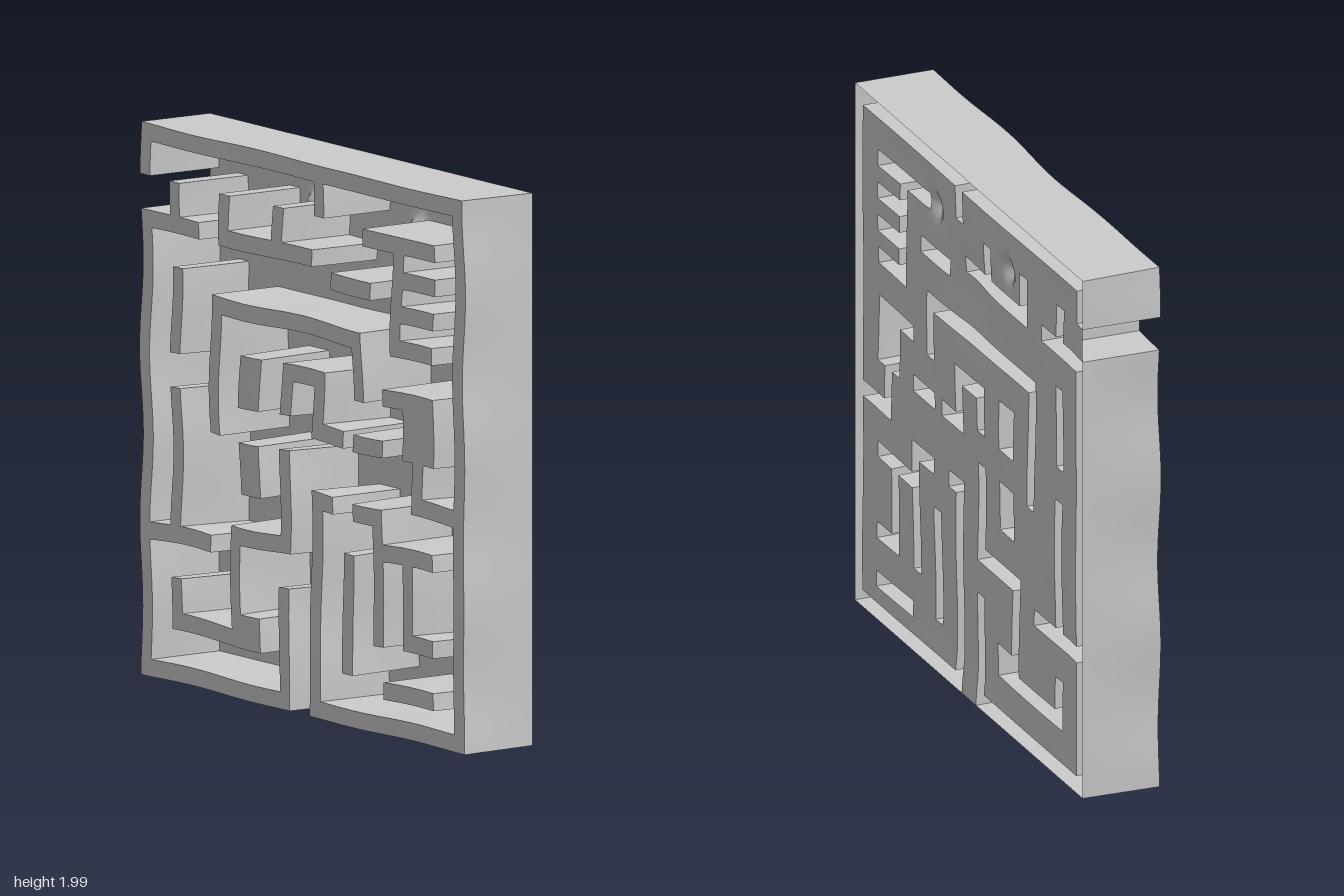
import * as THREE from 'three';
import { toCreasedNormals } from 'three/addons/utils/BufferGeometryUtils.js';

const N = 32;          // maze cells per side
const SUB = 3;         // surface subdivisions per cell
const CELL = 1.98 / N; // cell size
const BACK = -0.16, FRONT = 0.142;

// wall runs in cell units: x0, y0, x1, y1
const WALLS = {
  frame: [
    [0, 0, 1, 27], [0, 29, 1, 32], [31, 0, 32, 32], [0, 31, 32, 32],
    [0, 0, 15, 1], [17, 0, 32, 1], [17, 29, 18, 32],
  ],
  entrance: [[14, 0, 15, 7], [17, 0, 18, 13], [17, 12, 19, 13]],
  leftSide: [
    [0, 26, 6, 27], [3, 26, 4, 29], [3, 19, 4, 24],
    [0, 8, 7, 9], [3, 8, 4, 17],
  ],
  upper: [
    [8, 26, 17, 27], [8, 26, 9, 29], [13, 26, 14, 29], [19, 25, 23, 26],
    [22, 28, 29, 29], [25, 22, 26, 29], [25, 26, 29, 27], [25, 24, 29, 25], [25, 22, 29, 23],
  ],
  middle: [
    [7, 22, 22, 23], [7, 15, 8, 23], [21, 19, 22, 23],
    [10, 17, 12, 20], [10, 12, 12, 15],
    [14, 19, 18, 20], [14, 17, 15, 20], [17, 16, 18, 20], [17, 16, 20, 17],
    [21, 16, 24, 17],
    [24, 19, 29, 20], [26, 16, 29, 20], [27, 13, 28, 16], [27, 13, 32, 14],
  ],
  lower: [
    [14, 9, 15, 15], [9, 9, 15, 10], [9, 3, 10, 10], [10, 3, 12, 5], [3, 3, 12, 4], [3, 3, 4, 6],
    [21, 12, 24, 13], [23, 5, 24, 13], [23, 10, 29, 11], [26, 5, 27, 11], [26, 5, 29, 6],
    [20, 3, 21, 10], [24, 2, 29, 3],
  ],
};

const gauss = (x, y, cx, cy, r) => Math.exp(-((x - cx) ** 2 + (y - cy) ** 2) / (r * r));

// gentle roughness of the floor, flat along the outer edge
function floorZ(x, y) {
  const rim = Math.min(1, (0.99 - Math.abs(x)) * 8, (0.99 - Math.abs(y - 1)) * 8);
  const wave = 0.006 + 0.003 * Math.sin(5 * x + 3 * y) + 0.003 * Math.sin(9 * y - 4 * x);
  const bumps = 0.05 * (gauss(x, y, -0.32, 1.77, 0.04) + gauss(x, y, 0.32, 1.77, 0.04))
    + 0.02 * gauss(x, y, 0, 1.55, 0.15);
  return BACK + Math.max(0, rim) * (wave + bumps);
}

const topZ = (x, y) => FRONT + 0.008 * Math.cos(1.6 * x) * Math.cos(6 * x + 2 * y) - 0.006 * x * x
  + 0.004 * Math.sin(9 * y + 3 * x);

// surface point for grid corner (i, j) at height t: 0 floor, 1 wall top; walls wobble with height
function point(i, j, t) {
  const x = -0.99 + (i / SUB) * CELL, y = 0.008 + (j / SUB) * CELL;
  const z = THREE.MathUtils.lerp(floorZ(x, y), topZ(x, y), t);
  return [
    x + t * 0.006 * Math.sin(11 * y + 2 * x),
    y + t * 0.008 * Math.cos(9 * x) * Math.sin(1.5 * y + 0.4),
    z,
  ];
}

export function createModel() {
  const group = new THREE.Group();
  group.name = 'maze';

  const grid = new Uint8Array(N * N);
  for (const runs of Object.values(WALLS)) {
    for (const [x0, y0, x1, y1] of runs) {
      for (let y = y0; y < y1; y++) grid.fill(1, y * N + x0, y * N + x1);
    }
  }
  const M = N * SUB;
  const inside = (i, j) => i >= 0 && j >= 0 && i < M && j < M;
  const isWall = (i, j) => inside(i, j) && grid[Math.floor(j / SUB) * N + Math.floor(i / SUB)] === 1;

  const parts = { floor: [], wallTops: [], wallSides: [] };
  const quad = (list, a, b, c, d) => list.push(...a, ...b, ...c, ...a, ...c, ...d);

  // upright strip between two grid corners
  const side = (i0, j0, i1, j1) => {
    for (let k = 0; k < 3; k++) {
      const t = k / 3, u = (k + 1) / 3;
      quad(parts.wallSides, point(i0, j0, t), point(i1, j1, t), point(i1, j1, u), point(i0, j0, u));
    }
  };

  for (let j = 0; j < M; j++) {
    for (let i = 0; i < M; i++) {
      const wall = isWall(i, j), t = wall ? 1 : 0;
      quad(wall ? parts.wallTops : parts.floor,
        point(i, j, t), point(i + 1, j, t), point(i + 1, j + 1, t), point(i, j + 1, t));
      if (!wall) continue;
      if (!isWall(i, j - 1)) side(i, j, i + 1, j);
      if (!isWall(i + 1, j)) side(i + 1, j, i + 1, j + 1);
      if (!isWall(i, j + 1)) side(i + 1, j + 1, i, j + 1);
      if (!isWall(i - 1, j)) side(i, j + 1, i, j);
    }
  }

  // the walls are hollow and open at the back, so every surface is two-sided
  const material = new THREE.MeshStandardMaterial({ color: 0xcccccc, side: THREE.DoubleSide });
  for (const [name, positions] of Object.entries(parts)) {
    const geometry = new THREE.BufferGeometry();
    geometry.setAttribute('position', new THREE.Float32BufferAttribute(positions, 3));
    const mesh = new THREE.Mesh(toCreasedNormals(geometry, 0.7), material);
    mesh.name = name;
    group.add(mesh);
  }
  return group;
}
